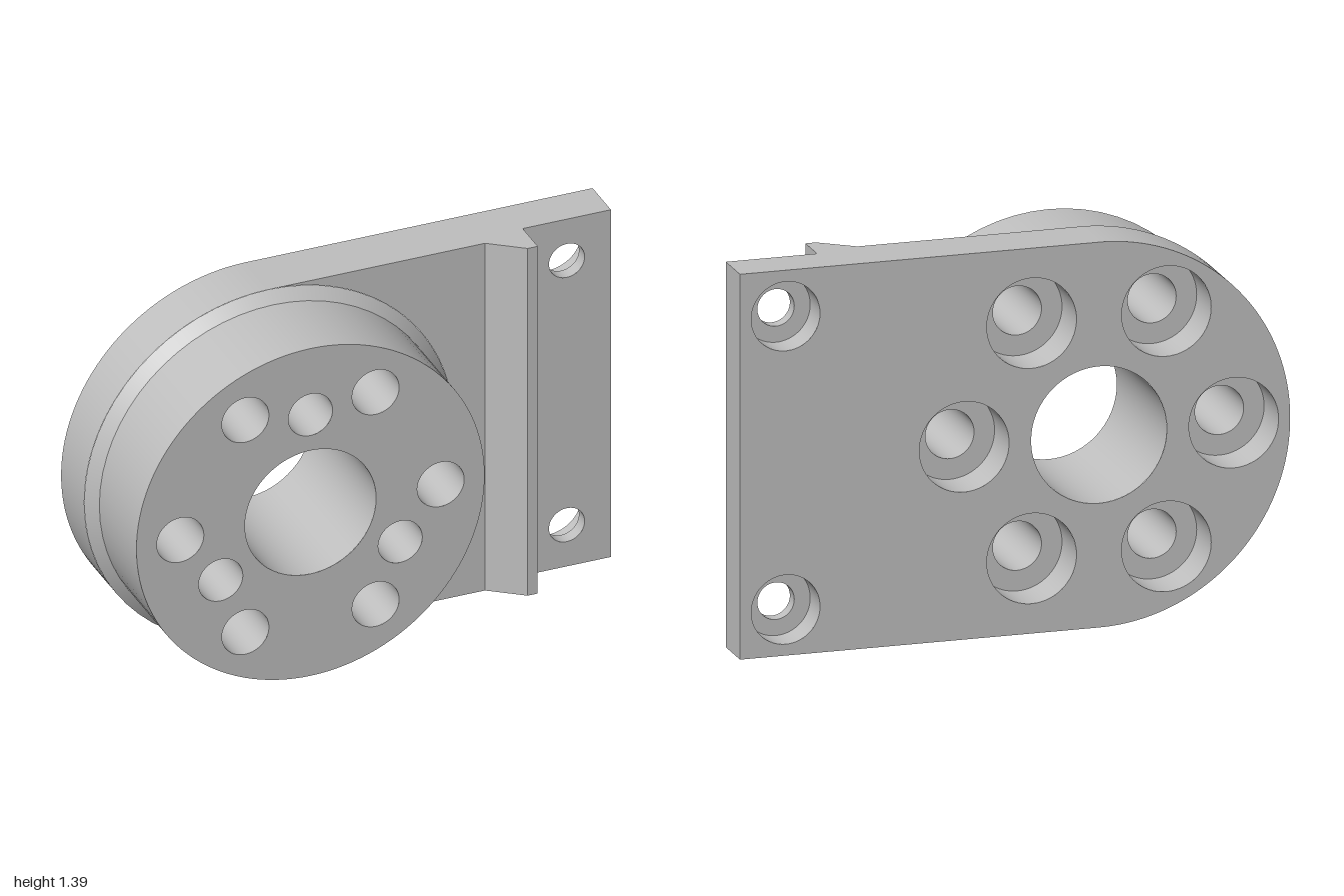
import * as THREE from 'three';
import { mergeGeometries } from 'three/addons/utils/BufferGeometryUtils.js';

const H = 1.39, R = H / 2, CX = -0.305, CY = R;          // plate height, round end
const BACK = -0.287, PLATE = -0.083, STEP = -0.125, RIDGE = 0.008, FRONT = 0.285;
const BOSS_R = 0.655, BORE_R = 0.247, SEG = 64;

const polar = (r, deg) => {
  const a = THREE.MathUtils.degToRad(deg);
  return [CX + r * Math.cos(a), CY + r * Math.sin(a)];
};
const boltHoles = [0, 60, 120, 180, 240, 300].map(a => polar(0.49, a));
const blindHoles = [90, 210, 330].map(a => polar(0.39, a));
const cornerHoles = [[0.834, 0.166], [0.834, H - 0.166]];

// Turned surface about a z axis; points are [radius, z], each segment kept sharp
function turned(x, y, points, start = 0, length = Math.PI * 2) {
  const parts = [];
  for (let i = 0; i < points.length - 1; i++) {
    const pair = [points[i], points[i + 1]].map(p => new THREE.Vector2(...p));
    parts.push(new THREE.LatheGeometry(pair, SEG, start, length));
  }
  return mergeGeometries(parts).rotateX(Math.PI / 2).translate(x, y, 0);
}

// Turn a surface to face the other way
function flip(geo) {
  const idx = geo.index.array, n = geo.attributes.normal.array;
  for (let i = 0; i < idx.length; i += 3) [idx[i], idx[i + 1]] = [idx[i + 1], idx[i]];
  for (let i = 0; i < n.length; i++) n[i] = -n[i];
  return geo;
}

function cutHoles(shape, centres, r) {
  for (const [x, y] of centres) {
    shape.holes.push(new THREE.Path().absarc(x, y, r, 0, Math.PI * 2, true));
  }
}

const face = (shape, z) => new THREE.ShapeGeometry(shape, SEG).translate(0, 0, z);

// Full-height strip between two [x, z] profile points
function strip([x0, z0], [x1, z1]) {
  const geo = new THREE.BufferGeometry();
  geo.setAttribute('position', new THREE.Float32BufferAttribute(
    [x0, 0, z0, x0, H, z0, x1, H, z1, x1, 0, z1], 3));
  geo.setIndex([0, 1, 2, 0, 2, 3]);
  geo.computeVertexNormals();
  return geo;
}

export function createModel() {
  const group = new THREE.Group();
  const metal = new THREE.MeshStandardMaterial({ color: 0xbfbfbf });
  metal.name = 'grey metal';
  const add = (name, ...geos) => {
    for (const geo of geos) {
      const mesh = new THREE.Mesh(geo, metal);
      mesh.name = name;
      group.add(mesh);
    }
  };

  // Back of the plate, with counterbore openings
  const back = new THREE.Shape();
  back.moveTo(1, 0).lineTo(1, H).lineTo(CX, H);
  back.absarc(CX, CY, R, Math.PI / 2, Math.PI * 1.5, false);
  cutHoles(back, [[CX, CY]], BORE_R);
  cutHoles(back, boltHoles, 0.163);
  cutHoles(back, cornerHoles, 0.125);
  add('plateBack', flip(face(back, BACK)));

  // Front of the plate, beside the boss
  const front = new THREE.Shape();
  front.moveTo(CX, 0).lineTo(0.508, 0).lineTo(0.508, H).lineTo(CX, H);
  front.absarc(CX, CY, R, Math.PI / 2, -Math.PI / 2, true);
  add('plateFront', face(front, PLATE));

  // Thin mounting flange
  const flange = new THREE.Shape();
  flange.moveTo(0.668, 0).lineTo(1, 0).lineTo(1, H).lineTo(0.668, H);
  cutHoles(flange, cornerHoles, 0.067);
  add('flangeFront', face(flange, STEP));

  // Ridge and end walls, then top and bottom edges sharing the same profile
  const profile = [[1, BACK], [1, STEP], [0.668, STEP], [0.668, RIDGE],
    [0.63, RIDGE], [0.508, PLATE], [CX, PLATE], [CX, BACK]];
  add('flangeEnd', strip(profile[0], profile[1]));
  add('ridge', ...[2, 3, 4].map(i => strip(profile[i], profile[i + 1])));
  const edge = () => new THREE.ShapeGeometry(
    new THREE.Shape(profile.map(([x, z]) => new THREE.Vector2(x, -z)))).rotateX(-Math.PI / 2);
  add('plateTop', edge().translate(0, H, 0));
  add('plateBottom', flip(edge()));
  add('plateRoundEnd', turned(CX, CY, [[R, BACK], [R, PLATE]], Math.PI, Math.PI));

  // Round boss with a chamfered foot
  add('boss', turned(CX, CY, [[R, PLATE], [BOSS_R, -0.043], [BOSS_R, FRONT]]));
  const disc = new THREE.Shape().absarc(CX, CY, BOSS_R, 0, Math.PI * 2, false);
  cutHoles(disc, [[CX, CY]], BORE_R);
  cutHoles(disc, boltHoles, 0.0885);
  cutHoles(disc, blindHoles, 0.083);
  add('bossFace', face(disc, FRONT));

  // Hole linings
  add('centreBore', turned(CX, CY, [[BORE_R, FRONT], [BORE_R, BACK]]));
  for (const [x, y] of boltHoles) {
    add('boltHole', turned(x, y, [[0.0885, FRONT], [0.0885, -0.122], [0.163, -0.122], [0.163, BACK]]));
  }
  for (const [x, y] of blindHoles) {
    add('blindHole', turned(x, y, [[0.083, FRONT], [0.083, -0.065], [0, -0.065]]));
  }
  for (const [x, y] of cornerHoles) {
    add('cornerHole', turned(x, y, [[0.067, STEP], [0.067, -0.175], [0.125, -0.175], [0.125, BACK]]));
  }
  return group;
}
